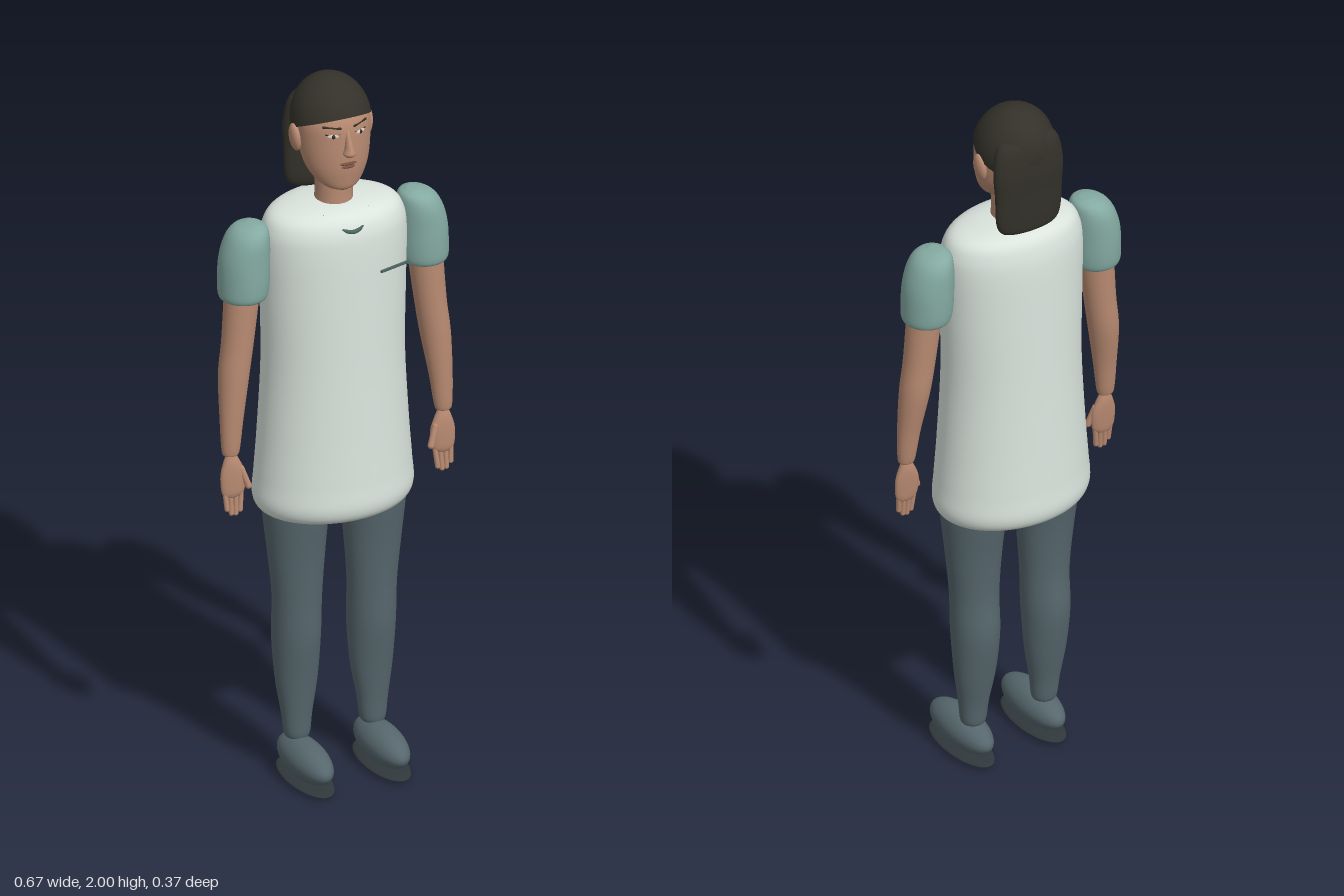
import * as THREE from 'three';

const mat = (name, color, side = THREE.FrontSide) => {
  const m = new THREE.MeshStandardMaterial({ color, side });
  m.name = name;
  return m;
};

// Smooth closed body through elliptical sections [y, rx, rz, cx, cz], listed bottom to top
function loft(sections, rings = 40, sides = 40) {
  const size = new THREE.CatmullRomCurve3(sections.map(s => new THREE.Vector3(s[0], s[1], s[2])), false, 'catmullrom', 0.5);
  const centre = new THREE.CatmullRomCurve3(sections.map(s => new THREE.Vector3(s[3], 0, s[4])), false, 'catmullrom', 0.5);
  const pos = [], idx = [];
  for (let i = 0; i <= rings; i++) {
    const p = size.getPoint(i / rings), c = centre.getPoint(i / rings);
    for (let j = 0; j < sides; j++) {
      const a = j / sides * Math.PI * 2;
      pos.push(c.x + Math.max(p.y, 0.001) * Math.sin(a), p.x, c.z + Math.max(p.z, 0.001) * Math.cos(a));
    }
  }
  for (let i = 0; i < rings; i++) for (let j = 0; j < sides; j++) {
    const a = i * sides + j, b = i * sides + (j + 1) % sides;
    idx.push(a, b, b + sides, a, b + sides, a + sides);
  }
  const first = sections[0], last = sections[sections.length - 1];
  const base = pos.length / 3, top = rings * sides;
  pos.push(first[3], first[0], first[4], last[3], last[0], last[4]);
  for (let j = 0; j < sides; j++) {
    const k = (j + 1) % sides;
    idx.push(base, k, j, base + 1, top + j, top + k);
  }
  const g = new THREE.BufferGeometry();
  g.setAttribute('position', new THREE.Float32BufferAttribute(pos, 3));
  g.setIndex(idx);
  g.computeVertexNormals();
  return g;
}

export function createModel() {
  const model = new THREE.Group();
  model.name = 'figure';
  const tunicMat = mat('pale tunic', 0xdae4dd);
  const sleeveMat = mat('teal sleeve', 0x84aaa2);
  const skin = mat('skin', 0xb98b72);
  const trousers = mat('slate trousers', 0x56676d);
  const hair = mat('dark hair', 0x333129);
  const soleMat = mat('dark sole', 0x30383b);
  const trim = mat('tunic trim', 0x4d6662);
  const white = mat('eye white', 0xd8d2c8);
  const lip = mat('lips', 0x7d5144);

  const add = (name, geometry, material, parent = model) => {
    const m = new THREE.Mesh(geometry, material);
    m.name = name;
    parent.add(m);
    return m;
  };
  const ball = (name, r, p, material, parent = model) => {
    const m = add(name, new THREE.SphereGeometry(1, 32, 20), material, parent);
    m.scale.set(...r);
    m.position.set(...p);
    return m;
  };
  // Rounded rod between two points
  const rod = (name, a, b, r, material, parent = model) => {
    const A = new THREE.Vector3(...a), d = new THREE.Vector3(...b).sub(A);
    const m = add(name, new THREE.CapsuleGeometry(r, d.length(), 6, 12), material, parent);
    m.position.copy(A).addScaledVector(d, 0.5);
    m.quaternion.setFromUnitVectors(new THREE.Vector3(0, 1, 0), d.normalize());
    return m;
  };

  // Long tunic
  add('tunic', loft([
    [0.768, 0.15, 0.11, 0, -0.015], [0.775, 0.198, 0.148, 0, -0.015], [0.81, 0.219, 0.166, 0, -0.015],
    [0.88, 0.215, 0.163, 0, -0.015], [1.0, 0.206, 0.157, 0, -0.015], [1.2, 0.196, 0.149, 0, -0.015],
    [1.4, 0.2, 0.143, 0, -0.015], [1.54, 0.203, 0.138, 0, -0.015], [1.6, 0.195, 0.13, 0, -0.015],
    [1.635, 0.17, 0.113, 0, -0.018], [1.652, 0.11, 0.083, 0, -0.022], [1.66, 0.04, 0.035, 0, -0.025],
  ], 72, 64), tunicMat);

  // Neckline trim and pocket edge
  const neckline = new THREE.CatmullRomCurve3([
    [-0.065, 1.642, 0.062], [-0.045, 1.622, 0.091], [0, 1.606, 0.112], [0.045, 1.622, 0.091], [0.065, 1.642, 0.062],
  ].map(p => new THREE.Vector3(...p)));
  add('neckline', new THREE.TubeGeometry(neckline, 32, 0.006, 8), trim);
  const pocket = add('pocketEdge', new THREE.BoxGeometry(0.092, 0.006, 0.006), trim);
  pocket.position.set(0.12, 1.476, 0.107);
  pocket.rotation.y = 0.26;

  // Neck and head
  add('neck', loft([
    [1.62, 0.056, 0.056, 0, -0.012], [1.67, 0.05, 0.05, 0, -0.01], [1.78, 0.052, 0.05, 0, -0.01],
  ], 12), skin);
  add('head', loft([
    [1.706, 0.018, 0.016, 0, 0.045], [1.716, 0.046, 0.038, 0, 0.032], [1.74, 0.07, 0.06, 0, 0.015],
    [1.78, 0.088, 0.08, 0, 0], [1.84, 0.097, 0.09, 0, -0.01], [1.9, 0.097, 0.09, 0, -0.016],
    [1.95, 0.075, 0.07, 0, -0.025], [1.97, 0.03, 0.03, 0, -0.025],
  ]), skin);
  add('nose', loft([
    [1.812, 0.008, 0.008, 0, 0.084], [1.822, 0.017, 0.018, 0, 0.086], [1.836, 0.012, 0.017, 0, 0.084],
    [1.865, 0.008, 0.013, 0, 0.075], [1.888, 0.005, 0.006, 0, 0.07],
  ], 16, 20), skin);
  ball('upperLip', [0.024, 0.0045, 0.006], [0, 1.791, 0.079], lip);
  ball('lowerLip', [0.019, 0.005, 0.006], [0, 1.782, 0.079], lip);

  // Hair cap, tilted back, and the length behind
  const cap = add('hairCap', new THREE.SphereGeometry(1, 48, 32, 0, Math.PI * 2, 0, Math.PI * 0.52),
    mat('dark hair cap', 0x333129, THREE.DoubleSide));
  cap.material = hair;
  hair.side = THREE.DoubleSide;
  cap.scale.set(0.106, 0.122, 0.108);
  cap.position.set(0, 1.879, -0.028);
  cap.rotation.x = -0.45;
  add('backHair', loft([
    [1.657, 0.055, 0.014, 0, -0.1], [1.668, 0.083, 0.026, 0, -0.1], [1.7, 0.097, 0.031, 0, -0.099],
    [1.78, 0.101, 0.034, 0, -0.1], [1.85, 0.104, 0.04, 0, -0.098], [1.92, 0.09, 0.042, 0, -0.09],
    [1.955, 0.05, 0.03, 0, -0.08],
  ]), hair);

  for (const s of [1, -1]) {
    const side = s > 0 ? 'left' : 'right';

    // Face details and ear
    ball(side + 'Ear', [0.014, 0.04, 0.024], [s * 0.103, 1.842, -0.027], skin).rotation.z = -s * 0.12;
    ball(side + 'Eye', [0.016, 0.007, 0.005], [s * 0.039, 1.872, 0.068], white).rotation.y = s * 0.4;
    ball(side + 'Iris', [0.006, 0.006, 0.004], [s * 0.038, 1.872, 0.071], hair);
    rod(side + 'UpperLid', [s * 0.022, 1.877, 0.074], [s * 0.056, 1.877, 0.061], 0.002, hair);
    rod(side + 'Brow', [s * 0.02, 1.893, 0.073], [s * 0.06, 1.897, 0.055], 0.0035, hair);

    // Short puffed sleeve
    add(side + 'Sleeve', loft([
      [1.415, 0.045, 0.045, s * 0.26, -0.013], [1.424, 0.063, 0.065, s * 0.26, -0.013],
      [1.46, 0.068, 0.071, s * 0.258, -0.014], [1.53, 0.067, 0.071, s * 0.255, -0.015],
      [1.585, 0.058, 0.066, s * 0.247, -0.015], [1.615, 0.043, 0.05, s * 0.238, -0.015],
      [1.628, 0.014, 0.02, s * 0.23, -0.015],
    ]), sleeveMat);

    // Bare arm
    add(side + 'Arm', loft([
      [0.978, 0.014, 0.012, s * 0.306, 0.01], [0.988, 0.024, 0.02, s * 0.306, 0.01],
      [1.08, 0.032, 0.029, s * 0.301, 0.005], [1.2, 0.041, 0.041, s * 0.29, -0.005],
      [1.3, 0.043, 0.043, s * 0.277, -0.008], [1.45, 0.048, 0.046, s * 0.262, -0.011],
    ]), skin);

    // Hand with four fingers and a thumb
    const hand = new THREE.Group();
    hand.name = side + 'Hand';
    model.add(hand);
    add('palm', loft([
      [0.858, 0.022, 0.009, s * 0.304, 0.016], [0.875, 0.033, 0.013, s * 0.302, 0.016],
      [0.92, 0.035, 0.016, s * 0.302, 0.014], [0.955, 0.024, 0.016, s * 0.304, 0.012],
      [0.985, 0.01, 0.01, s * 0.306, 0.01],
    ], 20, 24), skin, hand);
    [0.826, 0.812, 0.81, 0.818].forEach((y, i) =>
      rod('finger', [s * (0.325 - i * 0.0155), 0.875, 0.016], [s * (0.322 - i * 0.0125), y, 0.022], 0.007, skin, hand));
    rod('thumb', [s * 0.28, 0.935, 0.018], [s * 0.263, 0.885, 0.027], 0.009, skin, hand);

    // Trouser leg
    add(side + 'Leg', loft([
      [0.108, 0.02, 0.02, s * 0.109, -0.003], [0.118, 0.034, 0.032, s * 0.109, -0.003],
      [0.18, 0.042, 0.038, s * 0.109, -0.005], [0.28, 0.057, 0.053, s * 0.108, -0.01],
      [0.4, 0.064, 0.069, s * 0.108, -0.011], [0.52, 0.066, 0.066, s * 0.108, -0.006],
      [0.65, 0.077, 0.073, s * 0.11, -0.006], [0.77, 0.088, 0.088, s * 0.111, -0.008],
      [0.86, 0.09, 0.095, s * 0.11, -0.01],
    ], 48), trousers);

    // Shoe on a thin sole
    ball(side + 'Shoe', [0.053, 0.05, 0.132], [s * 0.11, 0.066, 0.05], trousers);
    ball(side + 'Sole', [0.056, 0.01, 0.134], [s * 0.11, 0.012, 0.05], soleMat);
  }
  return model;
}
